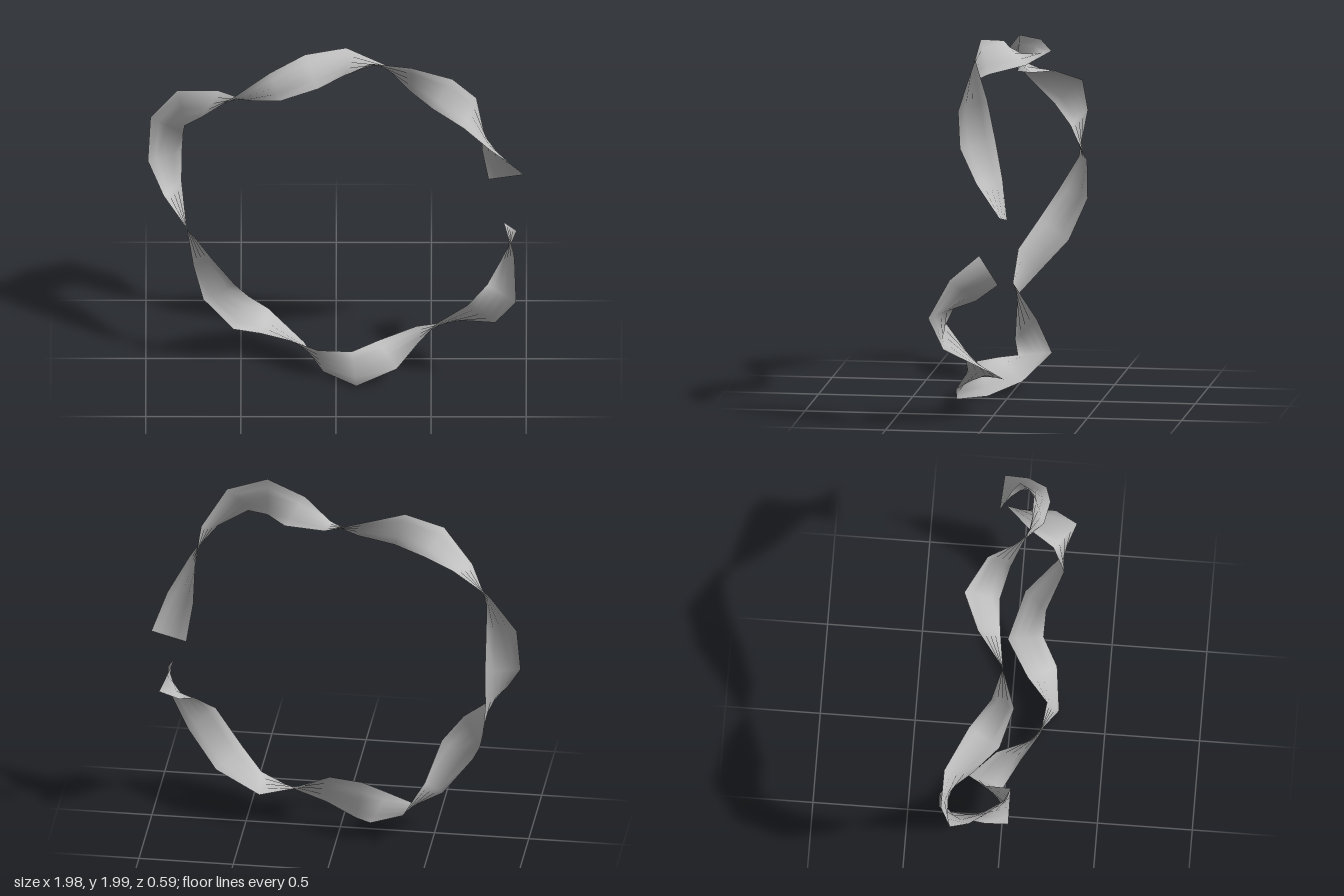
import * as THREE from 'three';

// Centreline of the open loop, running anticlockwise from the upper end of the gap.
const PATH = [
  [0.895, 1.13, -0.11], [0.845, 1.32, -0.03], [0.79, 1.505, 0.04], [0.705, 1.70, 0.08],
  [0.56, 1.85, 0.11], [0.395, 1.905, 0.06], [0.23, 1.90, -0.075], [0.05, 1.865, -0.15],
  [-0.13, 1.835, -0.10], [-0.32, 1.80, -0.015], [-0.50, 1.73, 0], [-0.66, 1.635, -0.085],
  [-0.815, 1.51, -0.21], [-0.89, 1.36, -0.255], [-0.90, 1.14, -0.275], [-0.86, 0.96, -0.23],
  [-0.785, 0.775, -0.135], [-0.70, 0.63, -0.02], [-0.615, 0.485, 0.045], [-0.50, 0.29, -0.03],
  [-0.375, 0.185, -0.095], [-0.205, 0.13, 0.01], [-0.08, 0.10, 0.14], [0.095, 0.11, 0.22],
  [0.27, 0.15, 0.15], [0.43, 0.21, 0.05], [0.60, 0.325, 0.09], [0.765, 0.48, 0.225],
  [0.87, 0.615, 0.225], [0.90, 0.745, 0.105], [0.915, 0.86, -0.035],
];
const WIDTH = 0.193;
const ACROSS = 4;
const TWIST_START = 0.04;
const TWIST_PER_STEP = 0.6955; // radians, about nine steps per full turn

// A plane bent along the centreline, its cross-section turning steadily about the tangent.
function twistedRibbon() {
  const steps = PATH.length - 1;
  const curve = new THREE.CatmullRomCurve3(
    PATH.map((p) => new THREE.Vector3(...p)), false, 'catmullrom', 0.5);
  const geometry = new THREE.PlaneGeometry(1, 1, ACROSS, steps);
  const position = geometry.attributes.position;
  const loopCentre = new THREE.Vector3(0, 1, 0);

  for (let i = 0; i <= steps; i++) {
    const centre = curve.getPoint(i / steps);
    const tangent = curve.getTangent(i / steps);
    const outward = centre.clone().sub(loopCentre).setZ(0);
    outward.addScaledVector(tangent, -outward.dot(tangent)).normalize();
    const forward = new THREE.Vector3().crossVectors(outward, tangent);
    const angle = TWIST_START + TWIST_PER_STEP * i;
    const side = outward.multiplyScalar(Math.cos(angle)).addScaledVector(forward, Math.sin(angle));

    for (let j = 0; j <= ACROSS; j++) {
      const p = centre.clone().addScaledVector(side, WIDTH * (j / ACROSS - 0.5));
      position.setXYZ(i * (ACROSS + 1) + j, p.x, p.y, p.z);
    }
  }
  geometry.computeVertexNormals();
  return geometry;
}

export function createModel() {
  const model = new THREE.Group();
  model.name = 'twistedRibbonLoop';

  const grey = new THREE.MeshStandardMaterial({ color: 0xc0c0c0, side: THREE.DoubleSide });
  grey.name = 'light grey';

  const ribbon = new THREE.Mesh(twistedRibbon(), grey);
  ribbon.name = 'ribbon';
  model.add(ribbon);
  return model;
}
